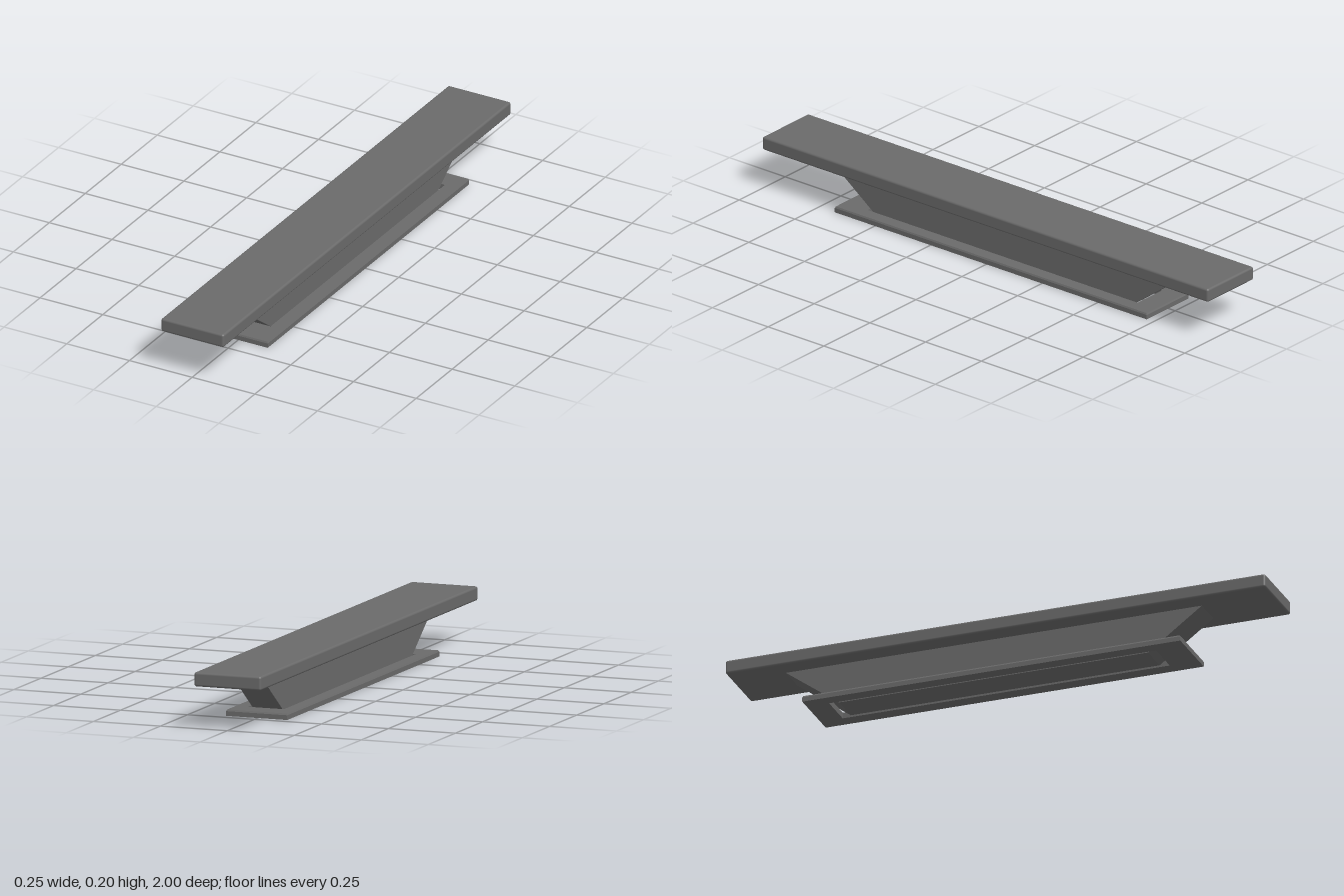
import * as THREE from 'three';
import { RoundedBoxGeometry } from 'three/addons/geometries/RoundedBoxGeometry.js';

const grey = new THREE.MeshStandardMaterial({ color: 0x6a6a6a });
grey.name = 'dark grey';

function addPart(group, name, geometry) {
  const mesh = new THREE.Mesh(geometry, grey);
  mesh.name = name;
  group.add(mesh);
  return mesh;
}

// Corners of a rectangle on the ground, with shape y standing for -z
function rectangle(x0, x1, z0, z1) {
  return [[x0, -z1], [x1, -z1], [x1, -z0], [x0, -z0]].map(([x, y]) => new THREE.Vector2(x, y));
}

export function createModel() {
  const group = new THREE.Group();
  group.name = 'bench';

  // Long top slab with softened edges
  addPart(group, 'topSlab', new RoundedBoxGeometry(0.25, 0.05, 2, 3, 0.008)).position.y = 0.172;

  // Solid pedestal with sloping ends, reaching down through the base
  const profile = new THREE.Shape([[-0.54, 0.001], [0.604, 0.001], [0.804, 0.149], [-0.742, 0.149]]
    .map(([x, y]) => new THREE.Vector2(x, y)));
  const pedestal = new THREE.ExtrudeGeometry(profile, { depth: 0.112, bevelEnabled: false });
  pedestal.translate(0, 0, -0.056).rotateY(Math.PI / 2);
  addPart(group, 'pedestal', pedestal);

  // Base plate with a slot around the pedestal
  const outline = new THREE.Shape(rectangle(-0.11, 0.118, -0.72, 0.68));
  outline.holes.push(new THREE.Path(rectangle(-0.064, 0.068, -0.638, 0.573).reverse()));
  const base = new THREE.ExtrudeGeometry(outline, { depth: 0.022, steps: 4, bevelEnabled: false });
  base.rotateX(-Math.PI / 2);
  // Chamfer the upper outer edge
  const p = base.attributes.position;
  for (let i = 0; i < p.count; i++) {
    const x = p.getX(i), z = p.getZ(i);
    if (p.getY(i) > 0.021 && Math.abs(x - 0.004) > 0.1) {
      p.setX(i, x - Math.sign(x) * 0.003);
      p.setZ(i, z - Math.sign(z) * 0.003);
    }
  }
  base.computeVertexNormals();
  addPart(group, 'basePlate', base);

  return group;
}
